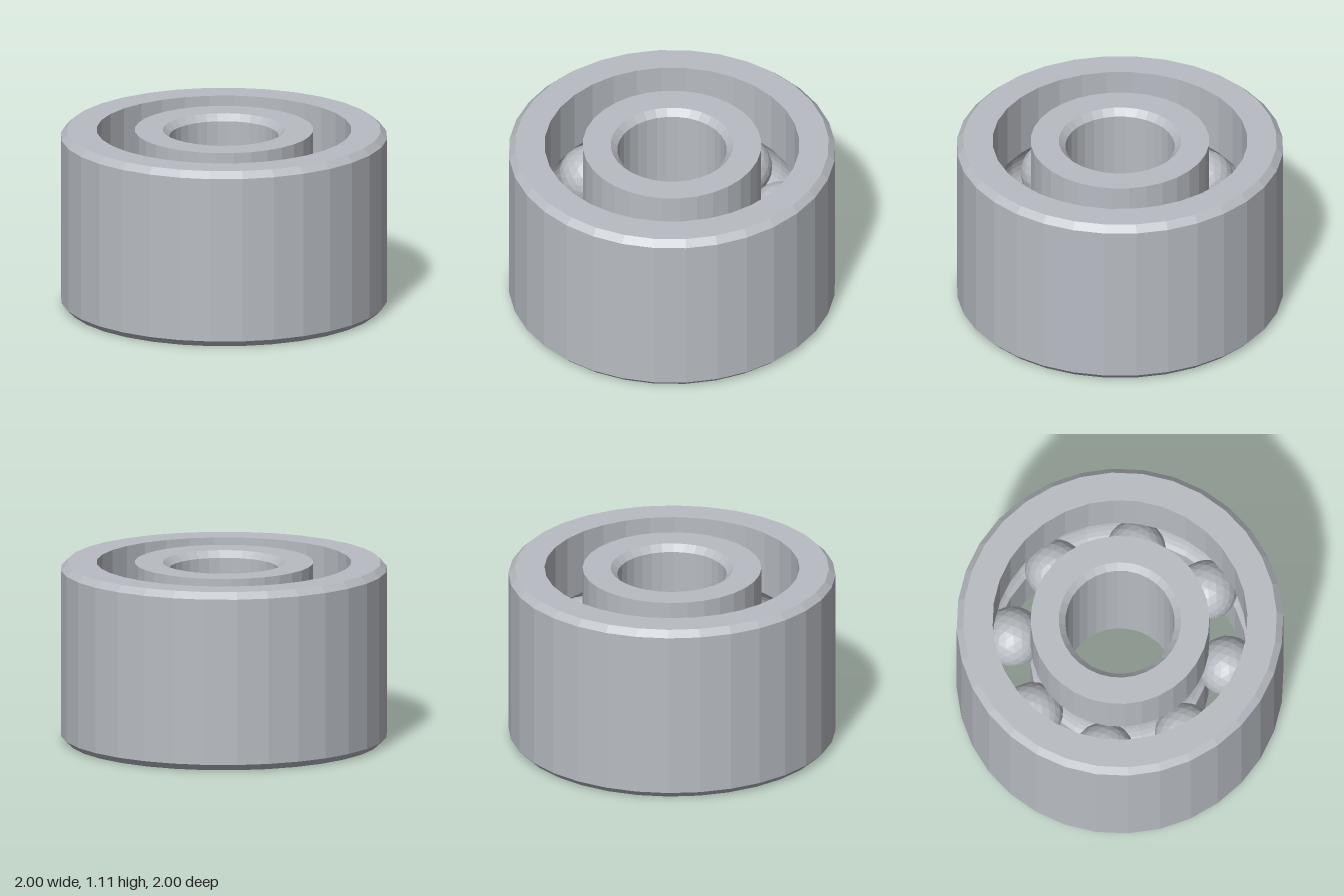
import * as THREE from 'three';

const HEIGHT = 1.11, MID = HEIGHT / 2, CHAMFER = 0.04;
const BALL_ORBIT = 0.665, BALL_RADIUS = 0.185, GROOVE_RADIUS = 0.19;
const SEGMENTS = 32, BALLS = 8;

// Points of the ball groove where it cuts into a wall, from one edge to the other
function groove(wallRadius, direction) {
  const side = Math.sign(wallRadius - BALL_ORBIT);
  const half = Math.acos(Math.abs(wallRadius - BALL_ORBIT) / GROOVE_RADIUS);
  const points = [];
  for (let i = 0; i <= 10; i++) {
    const a = direction * half * (i / 5 - 1);
    points.push([BALL_ORBIT + side * GROOVE_RADIUS * Math.cos(a), MID + GROOVE_RADIUS * Math.sin(a)]);
  }
  return points;
}

// Revolves a closed profile, listed anticlockwise in (radius, height)
function ring(name, profile, material) {
  const points = [...profile, profile[0]].map(([r, y]) => new THREE.Vector2(r, y));
  const mesh = new THREE.Mesh(new THREE.LatheGeometry(points, SEGMENTS), material);
  mesh.name = name;
  return mesh;
}

export function createModel() {
  const model = new THREE.Group();
  model.name = 'ballBearing';
  const steel = new THREE.MeshStandardMaterial({ color: 0xb8bcc2, flatShading: true });
  steel.name = 'steel';

  // Outer race: chamfered outside, grooved inside
  const outerWall = 0.78;
  model.add(ring('outerRace', [
    [outerWall, 0], [1 - CHAMFER, 0], [1, CHAMFER],
    [1, HEIGHT - CHAMFER], [1 - CHAMFER, HEIGHT], [outerWall, HEIGHT],
    ...groove(outerWall, -1),
  ], steel));

  // Inner race: grooved outside, chamfered bore
  const innerWall = 0.547, bore = 0.335;
  model.add(ring('innerRace', [
    [bore + CHAMFER, 0], [innerWall, 0],
    ...groove(innerWall, 1),
    [innerWall, HEIGHT], [bore + CHAMFER, HEIGHT],
    [bore, HEIGHT - CHAMFER], [bore, CHAMFER],
  ], steel));

  // Balls
  const ballGeometry = new THREE.IcosahedronGeometry(BALL_RADIUS, 3);
  for (let i = 0; i < BALLS; i++) {
    const angle = (i / BALLS) * Math.PI * 2;
    const ball = new THREE.Mesh(ballGeometry, steel);
    ball.name = `ball${i + 1}`;
    ball.position.set(BALL_ORBIT * Math.cos(angle), MID, BALL_ORBIT * Math.sin(angle));
    model.add(ball);
  }
  return model;
}
